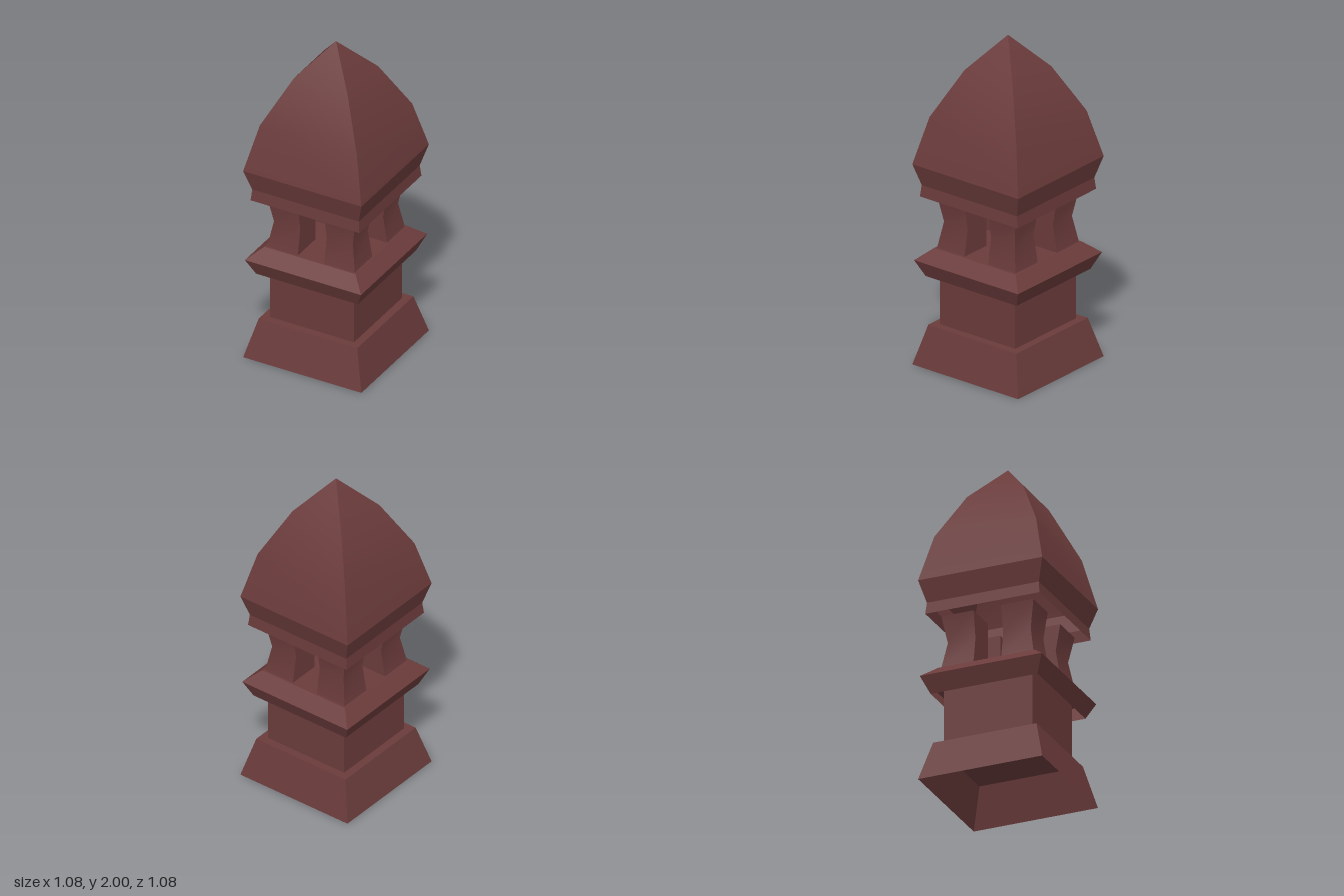
import * as THREE from 'three';
import { toCreasedNormals } from 'three/addons/utils/BufferGeometryUtils.js';

const stone = new THREE.MeshStandardMaterial({ color: 0x6b3b3b, side: THREE.DoubleSide });
stone.name = 'dark red stone';

function addPart(parent, name, geometry) {
  const mesh = new THREE.Mesh(toCreasedNormals(geometry, 0.5), stone);
  mesh.name = name;
  parent.add(mesh);
  return mesh;
}

// Four-sided shell from [corner radius, height] pairs
function squareShell(parent, name, profile) {
  const points = profile.map(([r, y]) => new THREE.Vector2(r, y));
  return addPart(parent, name, new THREE.LatheGeometry(points, 4));
}

// Square pillar whose two outer faces pinch in at mid height
function pillarGeometry() {
  const inner = 0.085, side = 0.198, waist = 0.17, height = 0.32;
  const geometry = new THREE.BoxGeometry(side, height, side, 1, 2, 1);
  geometry.translate(side / 2, 0, side / 2);
  const pos = geometry.attributes.position;
  for (let i = 0; i < pos.count; i++) {
    const k = Math.abs(pos.getY(i)) < 0.01 ? waist / side : 1;
    pos.setX(i, pos.getX(i) * k + inner);
    pos.setZ(i, pos.getZ(i) * k + inner);
  }
  geometry.translate(0, 0.71 + height / 2, 0);
  return geometry;
}

export function createModel() {
  const tower = new THREE.Group();
  tower.name = 'stoneLantern';

  // Base, shaft and ledge
  squareShell(tower, 'base', [[0.54, 0], [0.45, 0.24], [0, 0.24]]);
  squareShell(tower, 'shaft', [[0.383, 0.24], [0.383, 0.7]]);
  squareShell(tower, 'ledge', [[0.465, 0.54], [0.53, 0.64], [0.417, 0.71], [0, 0.71]]);

  // Corner pillars of the open chamber
  const pillars = new THREE.Group();
  pillars.name = 'pillars';
  for (let i = 0; i < 4; i++) {
    addPart(pillars, 'pillar', pillarGeometry()).rotation.y = Math.PI / 4 + i * Math.PI / 2;
  }
  tower.add(pillars);

  // Hollow roof: rim, flared eave and curved dome
  squareShell(tower, 'roofRim', [[0.497, 1.03], [0.487, 1.1]]);
  squareShell(tower, 'roofEave', [[0.487, 1.1], [0.54, 1.23]]);
  squareShell(tower, 'roofDome', [[0.54, 1.23], [0.443, 1.515], [0.245, 1.795], [0, 2]]);

  // Slight twist away from the diagonal
  tower.rotation.y = -0.0315;
  const model = new THREE.Group();
  model.name = 'model';
  model.add(tower);
  return model;
}
